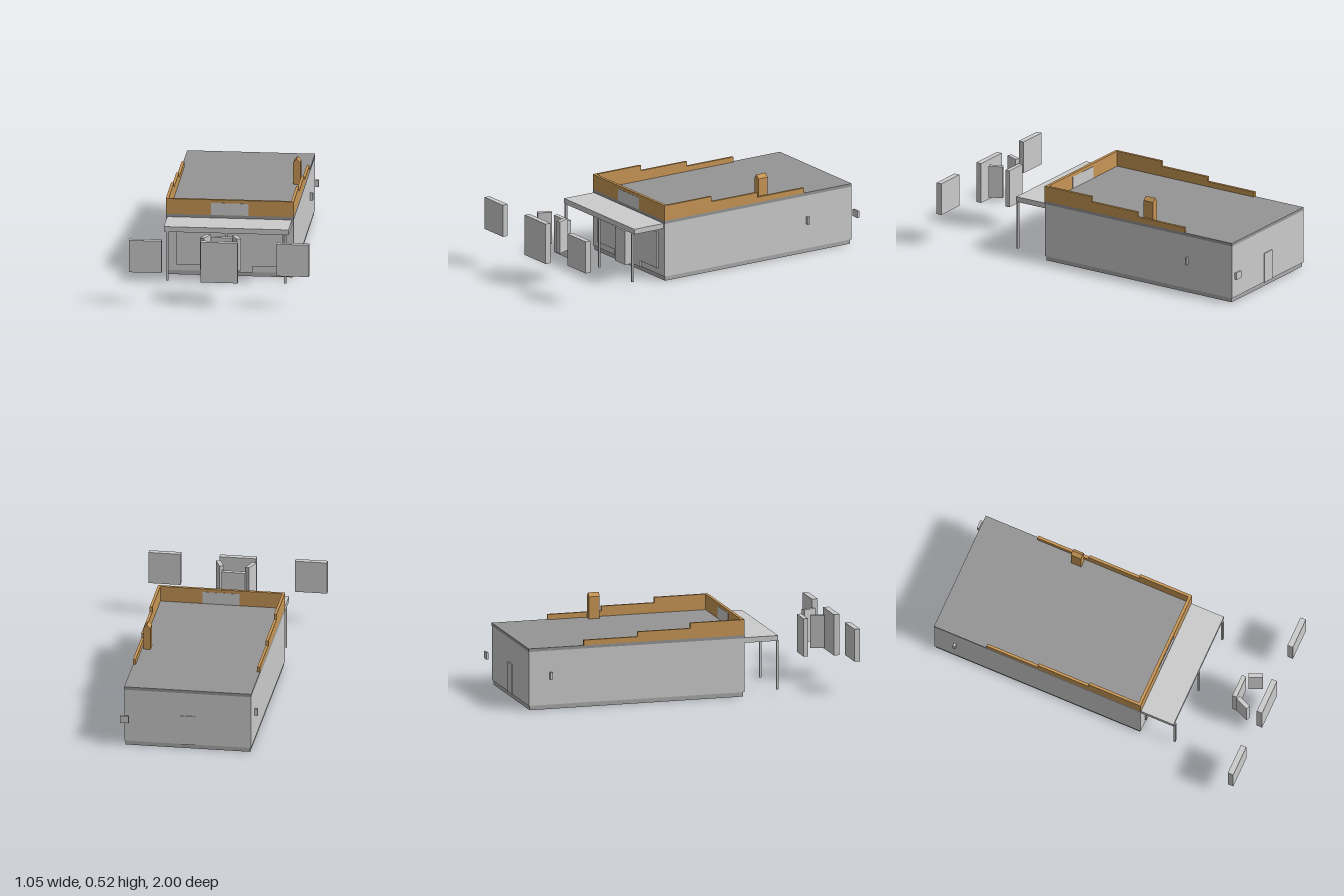
import * as THREE from 'three';

const mat = (color) => new THREE.MeshStandardMaterial({ color });

export function createModel() {
  const model = new THREE.Group();
  const grey = mat(0xcccccc), baseGrey = mat(0xaaaaaa), roofGrey = mat(0x959595), brown = mat(0xc89655);

  const add = (name, geometry, material) => {
    const mesh = new THREE.Mesh(geometry, material);
    mesh.name = name;
    model.add(mesh);
    return mesh;
  };
  // Box from its minimum and maximum on each axis
  const box = (name, x0, x1, y0, y1, z0, z1, material = grey) => {
    const mesh = add(name, new THREE.BoxGeometry(x1 - x0, y1 - y0, z1 - z0), material);
    mesh.position.set((x0 + x1) / 2, (y0 + y1) / 2, (z0 + z1) / 2);
    return mesh;
  };
  const outline = (points) => new THREE.Shape(points.map(([x, y]) => new THREE.Vector2(x, y)));
  const extrude = (points, depth) =>
    new THREE.ExtrudeGeometry(outline(points), { depth, bevelEnabled: false });

  // Main building
  box('foundation', -0.365, 0.365, 0, 0.027, -0.95, 0.34, baseGrey);
  box('walls', -0.371, 0.371, 0.027, 0.347, -0.957, 0.347);
  box('roof', -0.372, 0.372, 0.347, 0.365, -0.958, 0.347, roofGrey);

  // Parapet: front wall and two stepped side walls
  const front = 0.347, wall = 0.016;
  box('frontParapet', -0.372, 0.372, 0.365, 0.457, front - 0.018, front, brown);
  const steps = [
    [-0.625, 0.365], [front - 0.018, 0.365], [front - 0.018, 0.457], [0.02, 0.457],
    [0.02, 0.425], [-0.3, 0.425], [-0.3, 0.396], [-0.625, 0.396],
  ];
  for (const [name, x] of [['rightParapet', -0.372], ['leftParapet', 0.372 - wall]]) {
    const geometry = extrude(steps.map(([z, y]) => [-z, y]).reverse(), wall);
    geometry.rotateY(Math.PI / 2);
    add(name, geometry, brown).position.x = x;
  }
  box('signPanel', -0.108, 0.108, 0.366, 0.438, front - 0.0195, front + 0.0015);

  // Chimney with a gabled top
  add('chimney', extrude([
    [0.305, 0.365], [0.346, 0.365], [0.346, 0.496], [0.3255, 0.518], [0.305, 0.496],
  ], 0.065), brown).position.z = -0.39;

  // Canopy on three thin posts
  box('canopy', -0.364, 0.362, 0.317, 0.348, 0.347, 0.552);
  for (const x of [-0.344, 0, 0.342])
    box('canopyPost', x - 0.007, x + 0.007, 0.025, 0.317, 0.547, 0.558);

  // Shopfront: wide window band with a narrower part down to the ground
  add('shopfront', extrude([
    [-0.133, 0.027], [0.133, 0.027], [0.133, 0.065], [0.309, 0.065],
    [0.309, 0.281], [-0.309, 0.281], [-0.309, 0.065], [-0.133, 0.065],
  ], 0.01), grey).position.z = 0.347;
  box('entrance', -0.052, 0.052, 0.027, 0.23, 0.347, 0.407);

  // Back door and small wall fittings
  box('backDoor', -0.043, 0.041, 0.027, 0.205, -0.963, -0.957);
  box('leftWallFitting', 0.371, 0.39, 0.175, 0.22, -0.654, -0.642);
  box('rightWallFitting', -0.39, -0.371, 0.178, 0.22, -0.832, -0.817);
  box('rearPanel', 0.34, 0.39, 0.155, 0.197, -1, -0.987);

  // Free panels in front of the building
  box('centrePanel', -0.108, 0.108, 0.15, 0.392, 0.966, 1);
  box('innerPanel', -0.069, 0.069, 0.146, 0.37, 0.795, 0.822);
  for (const s of [-1, 1]) {
    const cx = s * 0.429;
    box('sidePanel', cx - 0.094, cx + 0.094, 0.2, 0.392, 0.966, 1);
    const angled = add('angledPanel', new THREE.BoxGeometry(0.026, 0.192, 0.084), grey);
    angled.position.set(s * 0.091, 0.296, 0.873);
    angled.rotation.y = s * 0.4;
  }
  return model;
}
